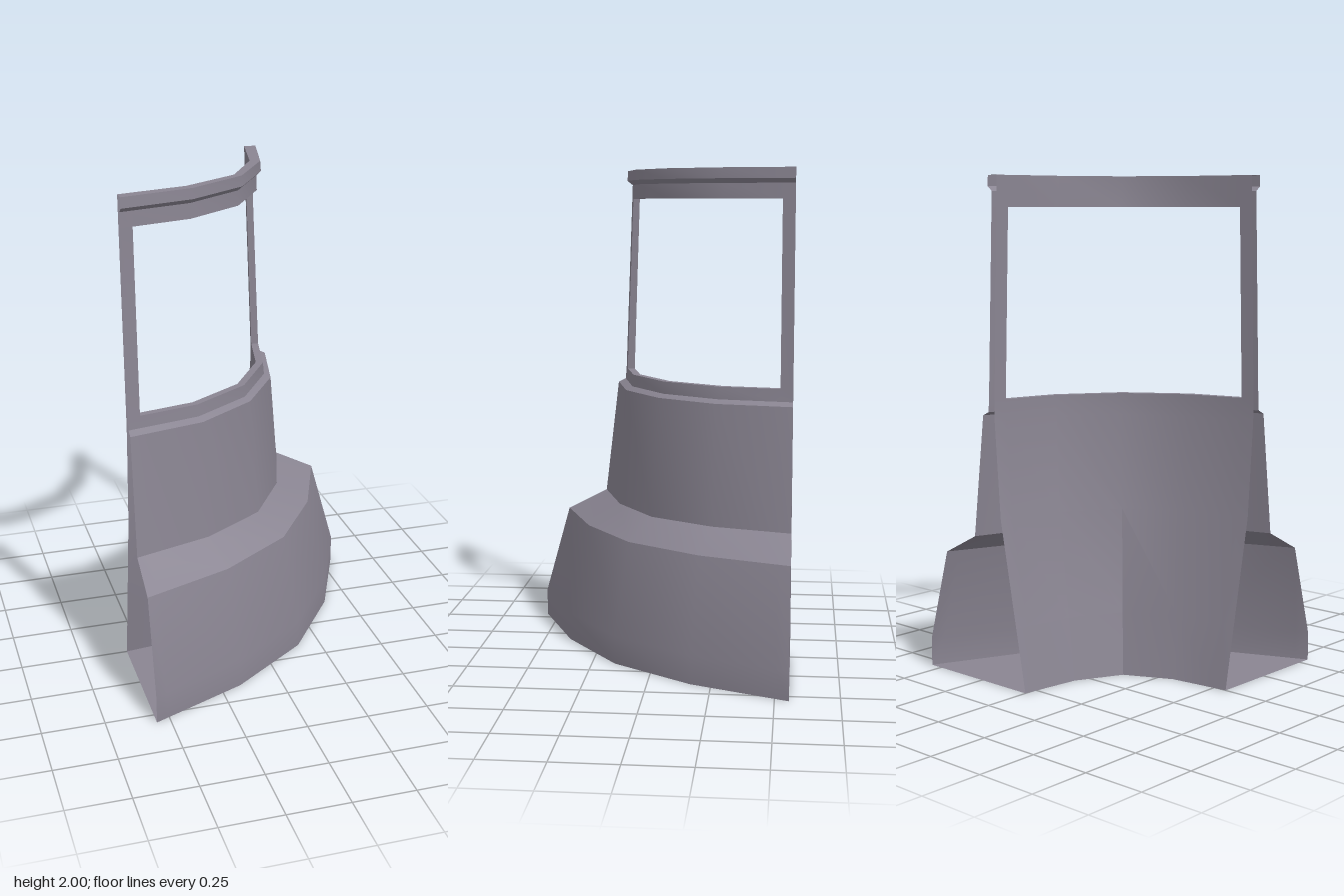
import * as THREE from 'three';
import { toCreasedNormals } from 'three/addons/utils/BufferGeometryUtils.js';

const C = -0.555; // centre of the quarter turn in x and z
const POST = 0.05; // width of the window posts

// Cross-section stations: [y, radius at the ends, quarter point x, quarter point z, middle x = z]
const OUTER = [
  [0, 1.11, 0.945, 0.387, 0.712],
  [0.115, 1.11, 0.945, 0.387, 0.712],
  [0.497, 1.005, 0.866, 0.36, 0.66],
  [0.585, 0.835, 0.737, 0.318, 0.574],
  [1.075, 0.778, 0.71, 0.306, 0.548],
  [1.09, 0.747, 0.684, 0.295, 0.53],
  [1.14, 0.743, 0.68, 0.293, 0.528],
  [1.88, 0.716, 0.655, 0.283, 0.511],
  [1.94, 0.714, 0.653, 0.282, 0.51],
  [1.958, 0.737, 0.67, 0.29, 0.524],
  [2, 0.734, 0.667, 0.29, 0.522],
];
const INNER = [
  [2, 0.685, 0.627, 0.276, 0.498],
  [1.88, 0.688, 0.63, 0.276, 0.496],
  [1.14, 0.712, 0.652, 0.28, 0.506],
  [1.05, 0.712, 0.652, 0.28, 0.508],
  [0.67, 0.684, 0.63, 0.273, 0.495],
  [0.25, 0.603, 0.565, 0.256, 0.462],
  [0, 0.555, 0.525, 0.245, 0.433],
];

// One station as seven points along the bend, mirrored about its middle
function bend([y, r, qx, qz, m]) {
  const half = [[r, 0], [r + (qx - r) * POST / qz, POST], [qx, qz]];
  const other = half.map(([x, z]) => [z, x]).reverse();
  return [...half, [m, m], ...other].map(([x, z]) => new THREE.Vector3(C + x, y, C + z));
}

const material = new THREE.MeshStandardMaterial({ color: 0x8a8592, side: THREE.DoubleSide });

// Skin rows of points with quads, leaving out the cells chosen by skip(row, column)
function skin(name, rows, skip = () => false) {
  const pos = [];
  for (let i = 0; i < rows.length - 1; i++) {
    for (let j = 0; j < rows[i].length - 1; j++) {
      if (skip(i, j)) continue;
      const a = rows[i][j], b = rows[i][j + 1], c = rows[i + 1][j + 1], d = rows[i + 1][j];
      for (const p of [a, d, c, a, c, b]) pos.push(p.x, p.y, p.z);
    }
  }
  const geo = new THREE.BufferGeometry();
  geo.setAttribute('position', new THREE.Float32BufferAttribute(pos, 3));
  const mesh = new THREE.Mesh(toCreasedNormals(geo, 0.55), material);
  mesh.name = name;
  return mesh;
}

export function createModel() {
  const group = new THREE.Group();
  group.name = 'curvedWindowWall';
  const outer = OUTER.map(bend), inner = INNER.map(bend);
  const inWindow = (j) => j > 0 && j < 5;

  // Stepped outside and curved inside, both with the window opening; the ends stay open
  group.add(skin('outerWall', outer, (i, j) => i === 6 && inWindow(j)));
  group.add(skin('innerWall', inner, (i, j) => i === 1 && inWindow(j)));

  // Narrow top edge and underside
  group.add(skin('topEdge', [outer[outer.length - 1], inner[0]]));
  group.add(skin('underside', [inner[inner.length - 1], outer[0]]));

  // Sill, jambs and lintel lining the opening
  const rim = (low, high) => [...low.slice(1, 6), ...high.slice(1, 6).reverse(), low[1]];
  group.add(skin('windowReveal', [rim(outer[6], outer[7]), rim(inner[2], inner[1])]));
  return group;
}
